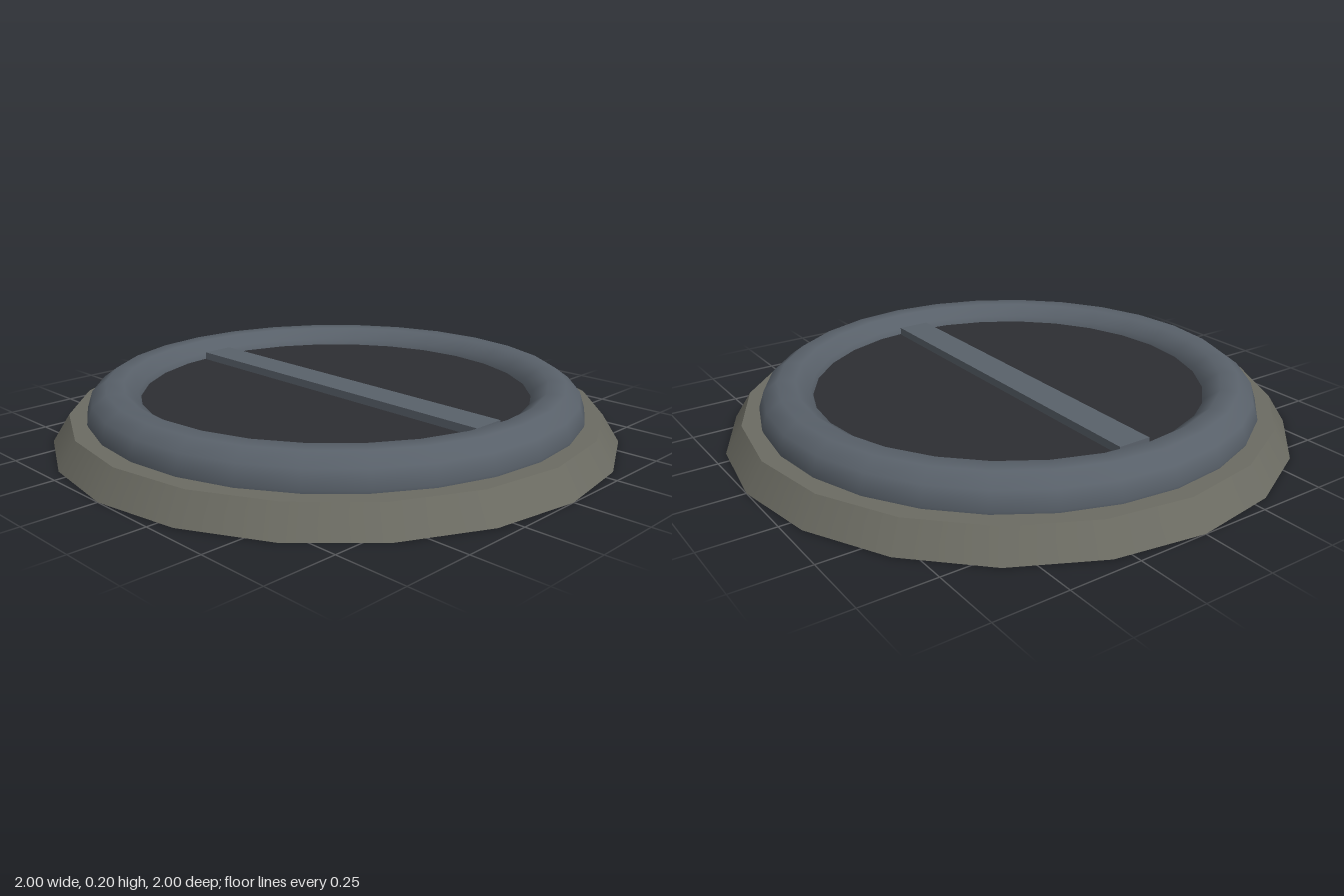
import * as THREE from 'three';

export function createModel() {
  const model = new THREE.Group();
  const add = (name, geometry, color, y) => {
    const mesh = new THREE.Mesh(geometry, new THREE.MeshStandardMaterial({ color }));
    mesh.name = name;
    mesh.position.y = y;
    model.add(mesh);
  };

  // Tapered stone base, 20 sides
  add('base', new THREE.CylinderGeometry(0.94, 1, 0.095, 20), 0x6b6b62, 0.0475);

  // Metal rim lying flat on the base
  const rim = new THREE.TorusGeometry(0.78, 0.1, 10, 28);
  rim.rotateX(-Math.PI / 2);
  add('rim', rim, 0x59616a, 0.105);

  // Dark cover disc inside the rim
  add('cover', new THREE.CylinderGeometry(0.72, 0.72, 0.05, 28), 0x2d2e32, 0.117);

  // Raised bar across the cover
  add('crossBar', new THREE.BoxGeometry(1.36, 0.04, 0.12), 0x59616a, 0.15);

  return model;
}
